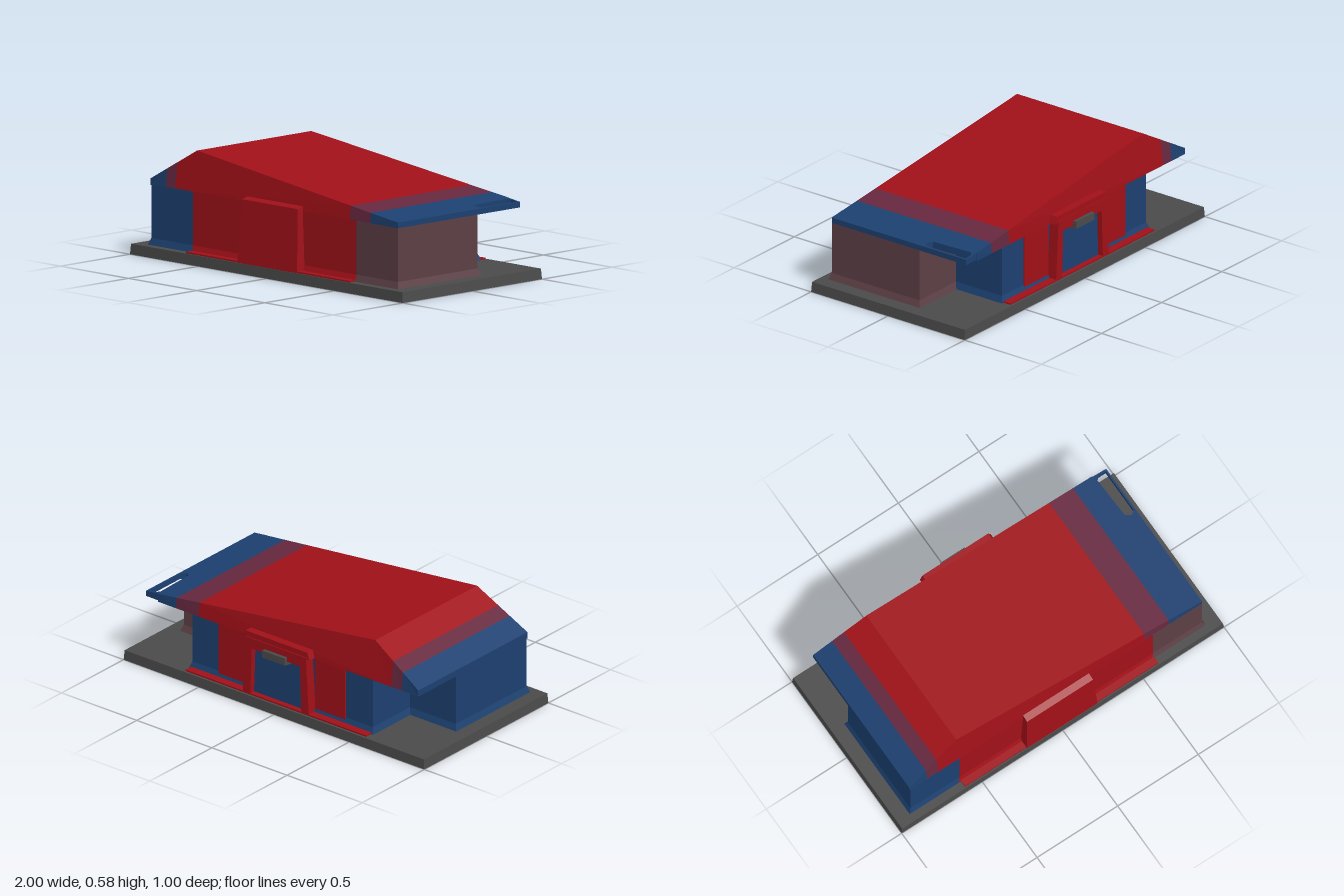
import * as THREE from 'three';

const RED = 0xa01018, BLUE = 0x1c4070, PURPLE = 0x66283f, GREY = 0x4a4a4a, BROWN = 0x5c3f45;

export function createModel() {
  const model = new THREE.Group();

  const add = (name, geometry, color, rule) => {
    const geo = geometry.index ? geometry.toNonIndexed() : geometry;
    if (rule) {
      const p = geo.attributes.position;
      const v = new THREE.Vector3();
      for (let i = 0; i < p.count; i++) {
        rule(v.fromBufferAttribute(p, i));
        p.setXYZ(i, v.x, v.y, v.z);
      }
    }
    geo.computeVertexNormals();
    const material = new THREE.MeshStandardMaterial({ color, flatShading: true });
    const mesh = new THREE.Mesh(geo, material);
    mesh.name = name;
    model.add(mesh);
    return mesh;
  };

  // Box given by its limits
  const box = (x0, x1, y0, y1, z0, z1) =>
    new THREE.BoxGeometry(x1 - x0, y1 - y0, z1 - z0)
      .translate((x0 + x1) / 2, (y0 + y1) / 2, (z0 + z1) / 2);

  const shapeOf = (pts) => new THREE.Shape(pts.map(([x, y]) => new THREE.Vector2(x, y)));
  const extrude = (shape, depth) => new THREE.ExtrudeGeometry(shape, { depth, bevelEnabled: false });

  // Ground slab, its upper edge slightly chamfered
  add('baseSlab', box(-1, 1, 0, 0.055, -0.5, 0.5), GREY, (v) => {
    if (v.y > 0.03) { v.x *= 0.995; v.z *= 0.995; }
  });

  // Walls: a full-depth core and shallower wings leave open porches at the back corners
  const wall = (name, x0, x1, z0, z1, color) => {
    const geo = new THREE.BoxGeometry(1, 1, 1, 1, 2, 1);
    add(name, geo, color, (v) => {
      const flare = v.y < -0.25 ? 0.015 : 0;
      v.x = v.x < 0 ? x0 - flare : x1 + flare;
      v.z = v.z < 0 ? z0 - flare : z1 + flare;
      v.y = v.y < -0.25 ? 0.05 : v.y < 0.25 ? 0.09 : 0.37;
    });
  };
  wall('coreFront', -0.6, 0.6, -0.13, 0.44, RED);
  wall('coreBack', -0.6, 0.6, -0.43, -0.13, BLUE);
  wall('rightWing', -0.905, -0.6, -0.13, 0.44, BLUE);
  wall('leftWing', 0.6, 0.905, -0.13, 0.44, BROWN);

  // Red panels on the back wall beside the bay
  for (const s of [-1, 1]) {
    const xs = [s * 0.22, s * 0.42].sort((a, b) => a - b);
    add('backWallPanel', box(xs[0], xs[1], 0.08, 0.37, -0.437, -0.42), RED);
  }

  // Asymmetric roof: steep on one side, long shallow slope on the other
  const ridge = -0.6;
  const roofY = (x) => x < ridge
    ? 0.4 + 0.18 * (x + 0.91) / (ridge + 0.91)
    : 0.58 - 0.18 * (x - ridge) / (0.9 - ridge);
  const lean = (v) => { v.z *= 1 - 0.38 * Math.max(0, v.y - 0.4); };

  const bands = [[-0.91, -0.8, BLUE], [-0.8, -0.73, PURPLE], [-0.73, 0.55, RED],
    [0.55, 0.7, PURPLE], [0.7, 0.82, BLUE]];
  for (const [x0, x1, color] of bands) {
    const top = [[x1, roofY(x1)]];
    if (x0 < ridge && x1 > ridge) top.push([ridge, 0.58]);
    top.push([x0, roofY(x0)]);
    const shape = shapeOf([[x0, 0.365], [x1, 0.365], ...top]);
    add('roofBand', extrude(shape, 0.88).translate(0, 0, -0.44), color, lean);
  }

  // Low eave with a long slot over one back porch (plan drawn with y = -z)
  const eave = shapeOf([[0.82, -0.44], [0.905, -0.44], [0.905, 0.435], [0.82, 0.435]]);
  eave.holes.push(new THREE.Path([
    [0.83, 0.41], [0.85, 0.425], [0.895, 0.425], [0.895, 0.17], [0.87, 0.15], [0.84, 0.17],
  ].map(([x, y]) => new THREE.Vector2(x, y))));
  add('slottedEave', extrude(eave, 0.035).rotateX(-Math.PI / 2), BLUE, (v) => {
    v.y = v.y > 0.02 ? roofY(v.x) : 0.37;
  });

  // Front bay, tapering upward
  add('frontBay', box(-0.22, 0.22, 0.05, 0.385, 0.42, 0.495), RED, (v) => {
    if (v.y > 0.2) {
      v.x *= 0.93;
      if (v.z > 0.45) v.z = 0.475;
      else v.y = 0.4;
    }
  });
  add('frontSill', box(-0.6, 0.6, 0.05, 0.063, 0.44, 0.49), RED);

  // Back bay: red door frame, recessed panel, canopy and hanging lamp box
  const frame = shapeOf([[-0.22, 0.05], [-0.17, 0.05], [-0.16, 0.32], [0.16, 0.32],
    [0.17, 0.05], [0.22, 0.05], [0.2, 0.38], [-0.2, 0.38]]);
  add('doorFrame', extrude(frame, 0.06).translate(0, 0, -0.485), RED);
  add('doorPanel', box(-0.17, 0.17, 0.055, 0.33, -0.455, -0.42), BLUE);
  add('doorCanopy', box(-0.22, 0.22, 0.37, 0.41, -0.48, -0.42), RED, (v) => {
    if (v.y > 0.39) v.x *= 0.93;
  });
  add('lampBox', box(-0.075, 0.075, 0.295, 0.345, -0.505, -0.45), GREY, (v) => {
    if (v.z < -0.48 && v.y < 0.32) v.y += 0.01;
  });
  add('backSill', box(-0.6, 0.6, 0.05, 0.063, -0.485, -0.43), RED);

  return model;
}
